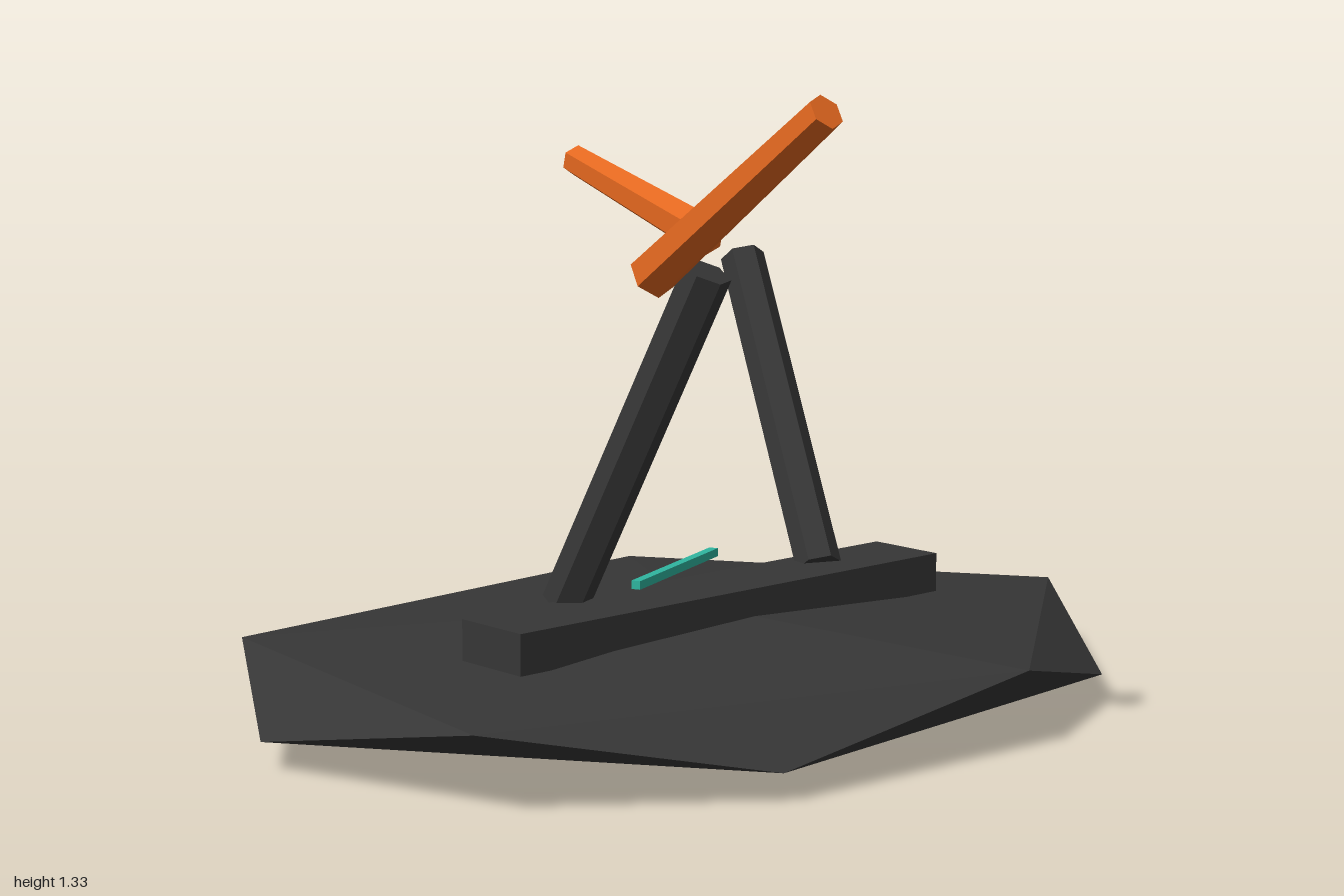
import * as THREE from 'three';

export function createModel() {
  const group = new THREE.Group();
  const charcoal = new THREE.MeshStandardMaterial({ color: 0x363636, flatShading: true });
  charcoal.name = 'charcoal';
  const orange = new THREE.MeshStandardMaterial({ color: 0xe2671f, flatShading: true });
  orange.name = 'orange';
  const teal = new THREE.MeshStandardMaterial({ color: 0x2fb5a0, flatShading: true });
  teal.name = 'teal';

  const add = (name, geometry, material) => {
    const mesh = new THREE.Mesh(geometry, material);
    mesh.name = name;
    group.add(mesh);
    return mesh;
  };

  // Flattened rock: two staggered five-point rings between a top and a bottom point
  const upper = [[-0.83, 0.57], [0.35, 0.76], [0.99, 0.09], [0.33, -0.66], [-0.82, -0.4]]
    .map(([x, z]) => [x, 0.163, z]);
  const lower = [[-0.29, 0.8], [0.74, 0.55], [0.71, -0.4], [-0.31, -0.68], [-1, 0.04]]
    .map(([x, z]) => [x, 0.06, z]);
  const top = [-0.02, 0.228, 0.11];
  const bottom = [-0.05, 0, 0.09];
  const corners = [];
  for (let i = 0; i < 5; i++) {
    const j = (i + 1) % 5;
    corners.push(top, upper[i], upper[j]);
    corners.push(upper[i], lower[i], upper[j]);
    corners.push(lower[i], lower[j], upper[j]);
    corners.push(bottom, lower[j], lower[i]);
  }
  const rock = new THREE.BufferGeometry();
  rock.setAttribute('position', new THREE.Float32BufferAttribute(corners.flat(), 3));
  rock.computeVertexNormals();
  add('rockBase', rock, charcoal);

  // Plank lying across the rock
  const plank = add('plank', new THREE.BoxGeometry(1.19, 0.085, 0.182), charcoal);
  plank.position.set(0, 0.232, 0.15);
  plank.rotation.y = 0.14;

  // Thin strip resting just above the plank
  const strip = add('strip', new THREE.BoxGeometry(0.39, 0.018, 0.02), teal);
  strip.position.set(0, 0.287, 0.017);
  strip.rotation.y = 0.53;

  // Six-sided rod between two points
  const rod = (name, from, to, r0, r1, material) => {
    const a = new THREE.Vector3(...from);
    const b = new THREE.Vector3(...to);
    const dir = b.clone().sub(a);
    const mesh = add(name, new THREE.CylinderGeometry(r1, r0, dir.length(), 6), material);
    mesh.position.copy(a).add(b).multiplyScalar(0.5);
    mesh.quaternion.setFromUnitVectors(new THREE.Vector3(0, 1, 0), dir.normalize());
  };

  // Leaning posts and the tapered arms at their tops
  rod('rightPost', [-0.325, 0.265, 0.09], [-0.203, 0.97, 0.424], 0.05, 0.05, charcoal);
  rod('leftPost', [0.335, 0.265, 0.08], [0.445, 0.9, -0.363], 0.05, 0.05, charcoal);
  rod('rightArm', [-0.303, 0.963, 0.375], [-0.243, 1.302, 0.855], 0.049, 0.037, orange);
  rod('leftArm', [0.294, 0.958, -0.292], [0.318, 1.095, -0.87], 0.049, 0.037, orange);

  return group;
}
